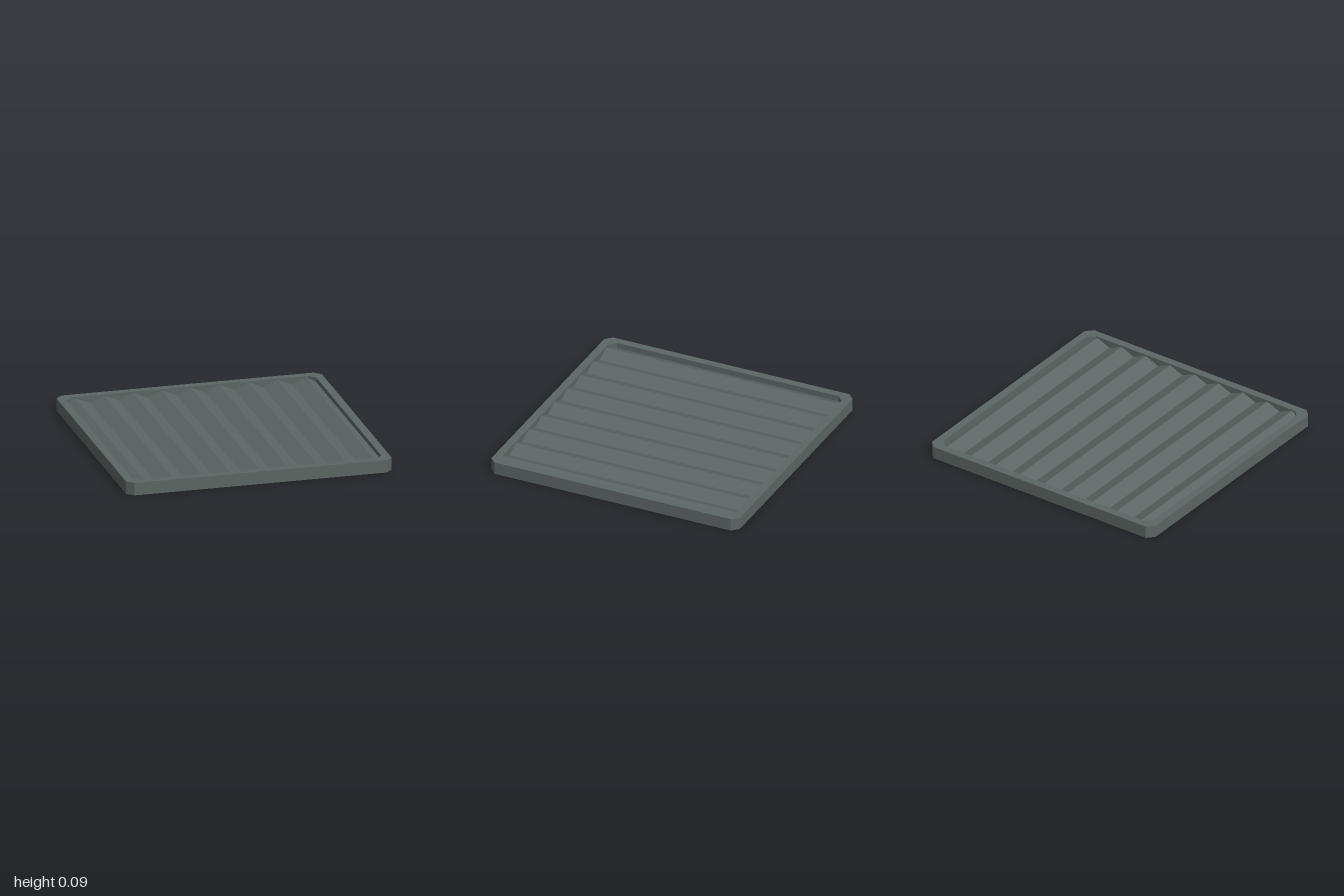
import * as THREE from 'three';

const HEIGHT = 0.095, PEAK = 0.085, VALLEY = 0.04, FOLD = 0.1087, SHIFT = 0.01;

// Traces a square with cut corners
function octagon(target, r, cut) {
  const c = r - cut;
  const corners = [[c, -r], [r, -c], [r, c], [c, r], [-c, r], [-r, c], [-r, -c], [-c, -r]];
  target.setFromPoints(corners.map(([x, y]) => new THREE.Vector2(x, y)));
  return target;
}

export function createModel() {
  const group = new THREE.Group();
  group.name = 'corrugatedPanel';
  const material = new THREE.MeshStandardMaterial({ color: 0x5c6664, flatShading: true });
  const sheetMaterial = material.clone();
  sheetMaterial.side = THREE.DoubleSide;

  // Square frame with cut corners and a matching opening
  const outline = octagon(new THREE.Shape(), 1, 0.05);
  outline.holes.push(octagon(new THREE.Path(), 0.94, 0.05));
  const frameGeometry = new THREE.ExtrudeGeometry(outline, { depth: HEIGHT, bevelEnabled: false });
  frameGeometry.rotateX(-Math.PI / 2);
  const frame = new THREE.Mesh(frameGeometry, material);
  frame.name = 'frame';
  group.add(frame);

  // Folded sheet: ridges and valleys run front to back, edges sit inside the frame
  const edge = 0.945, xs = [-edge];
  for (let k = -8; k <= 8; k++) xs.push(SHIFT + k * FOLD);
  xs.push(edge);
  const sheetGeometry = new THREE.PlaneGeometry(2 * edge, 2 * edge, xs.length - 1, 1);
  sheetGeometry.rotateX(-Math.PI / 2);
  const position = sheetGeometry.attributes.position;
  for (let i = 0; i < position.count; i++) {
    const x = xs[i % xs.length];
    const t = Math.abs(x - SHIFT) / FOLD % 2;
    const drop = t > 1 ? 2 - t : t;
    position.setX(i, x);
    position.setY(i, PEAK - drop * (PEAK - VALLEY));
  }
  sheetGeometry.computeVertexNormals();
  const sheet = new THREE.Mesh(sheetGeometry, sheetMaterial);
  sheet.name = 'corrugatedSheet';
  group.add(sheet);

  return group;
}
